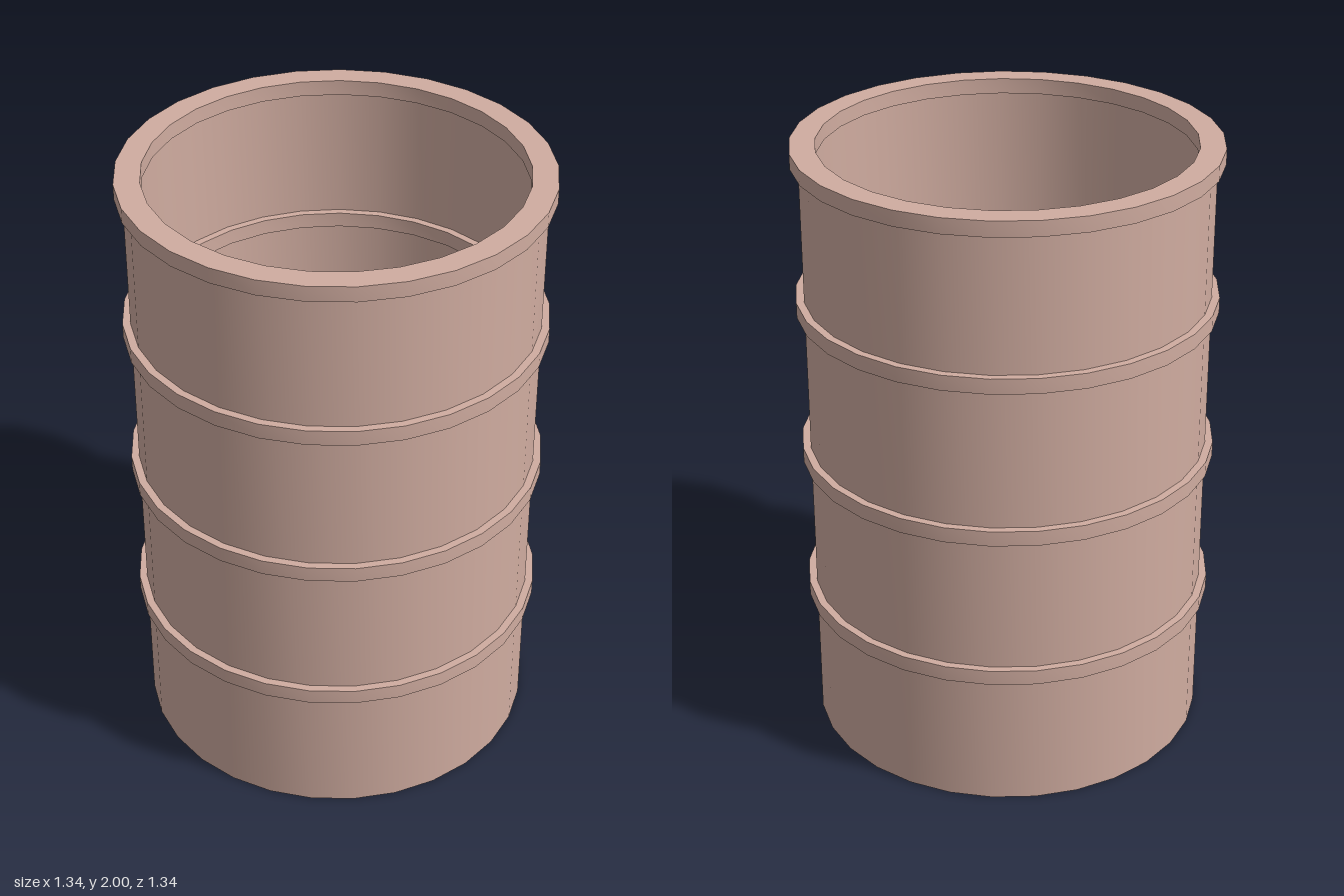
import * as THREE from 'three';
import { toCreasedNormals, mergeVertices } from 'three/addons/utils/BufferGeometryUtils.js';

const SIDES = 29;
const WALL_OUT = 0.645, WALL_IN = 0.615;  // drum wall
const HOOP_OUT = 0.67, HOOP_IN = 0.59;    // hoops stand proud on both faces
const HOOP_H = 0.05;
const FLOOR = 0.03;

const material = new THREE.MeshStandardMaterial({ color: 0xd0aca0 });

// Revolve a profile; the start angle puts a corner on +x
function revolve(name, points) {
  const profile = points.map(([r, y]) => new THREE.Vector2(r, y));
  const lathe = new THREE.LatheGeometry(profile, SIDES, Math.PI / 2);
  const mesh = new THREE.Mesh(toCreasedNormals(lathe, 0.5), material);
  mesh.name = name;
  return mesh;
}

// Rectangular hoop section, wrapped round the wall
function hoop(name, y) {
  const top = y + HOOP_H;
  return revolve(name, [
    [HOOP_IN, y], [HOOP_OUT, y], [HOOP_OUT, top], [HOOP_IN, top], [HOOP_IN, y],
  ]);
}

// Low, uneven heap of contents inside the drum
function contents(level) {
  const profile = [0.62, 0.42, 0.22, 0].map((r) => new THREE.Vector2(r, 0));
  let geo = new THREE.LatheGeometry(profile, 14, Math.PI / 2);
  const p = geo.attributes.position;
  for (let i = 0; i < p.count; i++) {
    const x = p.getX(i), z = p.getZ(i);
    const dome = 0.1 * (1 - Math.hypot(x, z) / 0.62);
    const lumps = 0.015 * Math.sin(9 * x + 1) * Math.cos(8 * z - 1);
    p.setY(i, level + dome + lumps);
  }
  geo.deleteAttribute('normal');
  geo.deleteAttribute('uv');
  geo = mergeVertices(geo);
  geo.computeVertexNormals();
  const mesh = new THREE.Mesh(geo, material);
  mesh.name = 'contents';
  return mesh;
}

export function createModel() {
  const model = new THREE.Group();
  model.name = 'drum';

  // Open shell: base, outer wall, top edge, inner wall, floor
  model.add(revolve('shell', [
    [0, 0], [WALL_OUT, 0], [WALL_OUT, 1.96],
    [WALL_IN, 1.96], [WALL_IN, FLOOR], [0, FLOOR],
  ]));

  // Three hoops and the rim
  [0.45, 0.95, 1.46].forEach((y, i) => model.add(hoop(`hoop${i + 1}`, y)));
  model.add(hoop('rim', 1.95));

  model.add(contents(0.95));
  return model;
}
